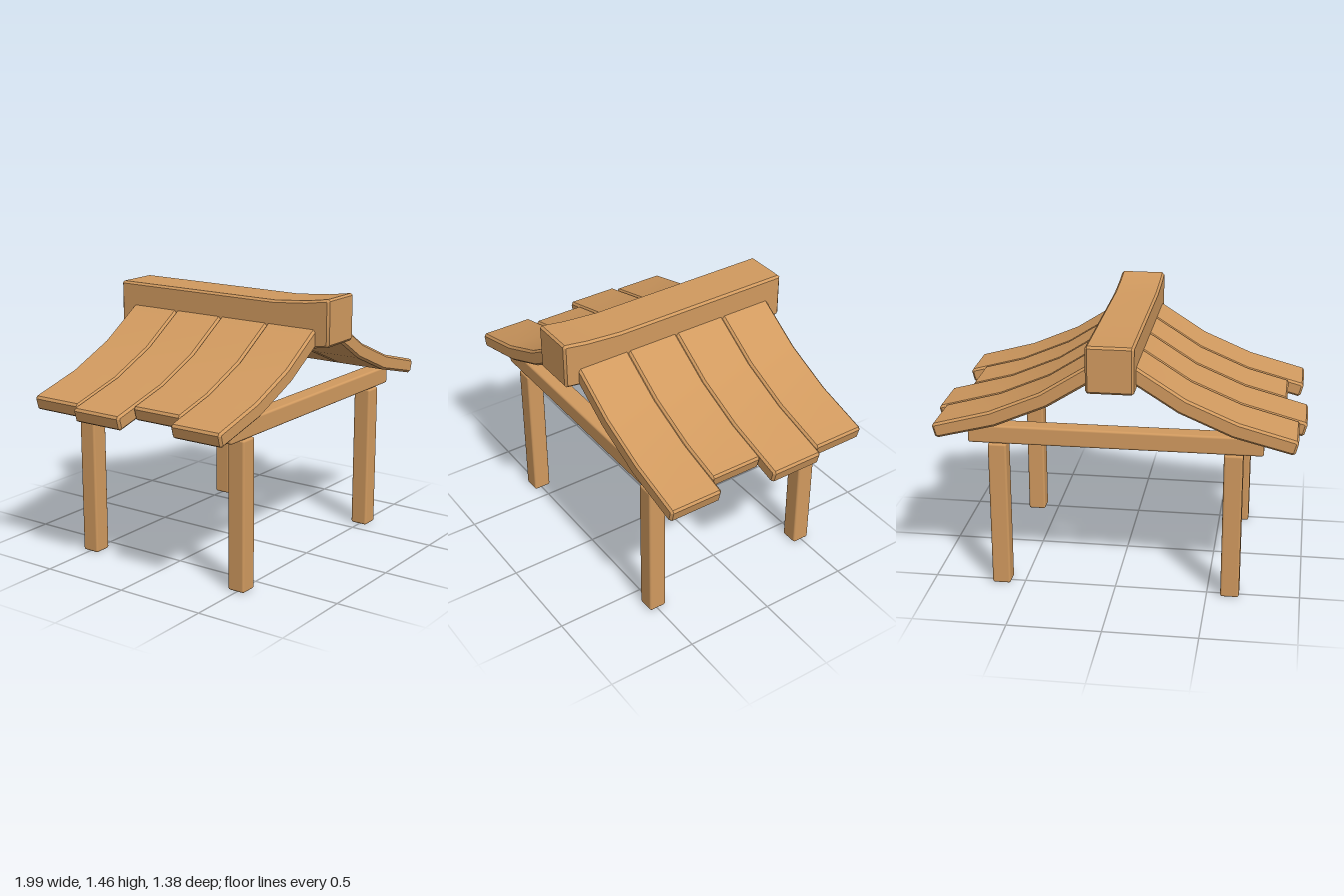
import * as THREE from 'three';
import { toCreasedNormals } from 'three/addons/utils/BufferGeometryUtils.js';
import { RoundedBoxGeometry } from 'three/addons/geometries/RoundedBoxGeometry.js';

const BEVEL = 0.012;

// Extruded slab centred on z, with every sharp edge chamfered
function slab(corners, depth) {
  const pts = corners.map(([x, y]) => new THREE.Vector2(x, y));
  const outline = [];
  pts.forEach((p, i) => {
    const toPrev = pts[(i + pts.length - 1) % pts.length].clone().sub(p).normalize();
    const toNext = pts[(i + 1) % pts.length].clone().sub(p).normalize();
    if (toPrev.dot(toNext) > -0.7) {
      outline.push(p.clone().addScaledVector(toPrev, BEVEL), p.clone().addScaledVector(toNext, BEVEL));
    } else outline.push(p);
  });
  const geo = new THREE.ExtrudeGeometry(new THREE.Shape(outline), {
    depth: depth - 2 * BEVEL,
    bevelThickness: BEVEL,
    bevelSize: BEVEL,
    bevelOffset: -BEVEL,
    bevelSegments: 1,
  });
  geo.translate(0, 0, -depth / 2 + BEVEL);
  return toCreasedNormals(geo, 0.5);
}

// Sagging roof board, cut square to its slope where its top reaches x = reach
function plankGeometry(reach) {
  const endY = 1.02 - (reach - 0.65) * 0.271;
  return slab([
    [0.054, 1.24], [0.34, 1.06], [0.62, 0.94], [reach - 0.021, endY - 0.077],
    [reach, endY], [0.65, 1.02], [0.38, 1.135], [0.1, 1.313],
  ], 0.304);
}

export function createModel() {
  const model = new THREE.Group();
  const wood = new THREE.MeshStandardMaterial({ color: 0xd19a5f });
  wood.name = 'wood';

  const add = (name, geo, x, y, z) => {
    const mesh = new THREE.Mesh(geo, wood);
    mesh.name = name;
    mesh.position.set(x, y, z);
    model.add(mesh);
    return mesh;
  };

  // Four posts and two cross beams
  const post = new RoundedBoxGeometry(0.1, 0.82, 0.1, 2, 0.012);
  const beam = new RoundedBoxGeometry(1.56, 0.1, 0.1, 2, 0.012);
  for (const z of [0.495, -0.495]) {
    const end = z > 0 ? 'front' : 'back';
    add(end + 'Beam', beam, 0, 0.873, z);
    add(end + 'LeftPost', post, 0.625, 0.41, z);
    add(end + 'RightPost', post, -0.625, 0.41, z);
  }

  // Roof boards of uneven length, front to back, on both slopes
  [0.97, 0.885, 1.0, 0.96].forEach((reach, i) => {
    const geo = plankGeometry(reach);
    const z = 0.458 - i * 0.303;
    add('leftRoofPlank' + (i + 1), geo, 0, 0, z);
    add('rightRoofPlank' + (i + 1), geo, 0, 0, z).rotation.y = Math.PI;
  });

  // Ridge beam, curving up towards the front
  const ridge = slab([
    [-0.69, 1.175], [0.35, 1.175], [0.55, 1.19], [0.69, 1.21],
    [0.69, 1.465], [0.55, 1.443], [0.35, 1.426], [-0.69, 1.426],
  ], 0.25);
  add('ridgeBeam', ridge, 0, 0, 0).rotation.y = -Math.PI / 2;

  return model;
}
